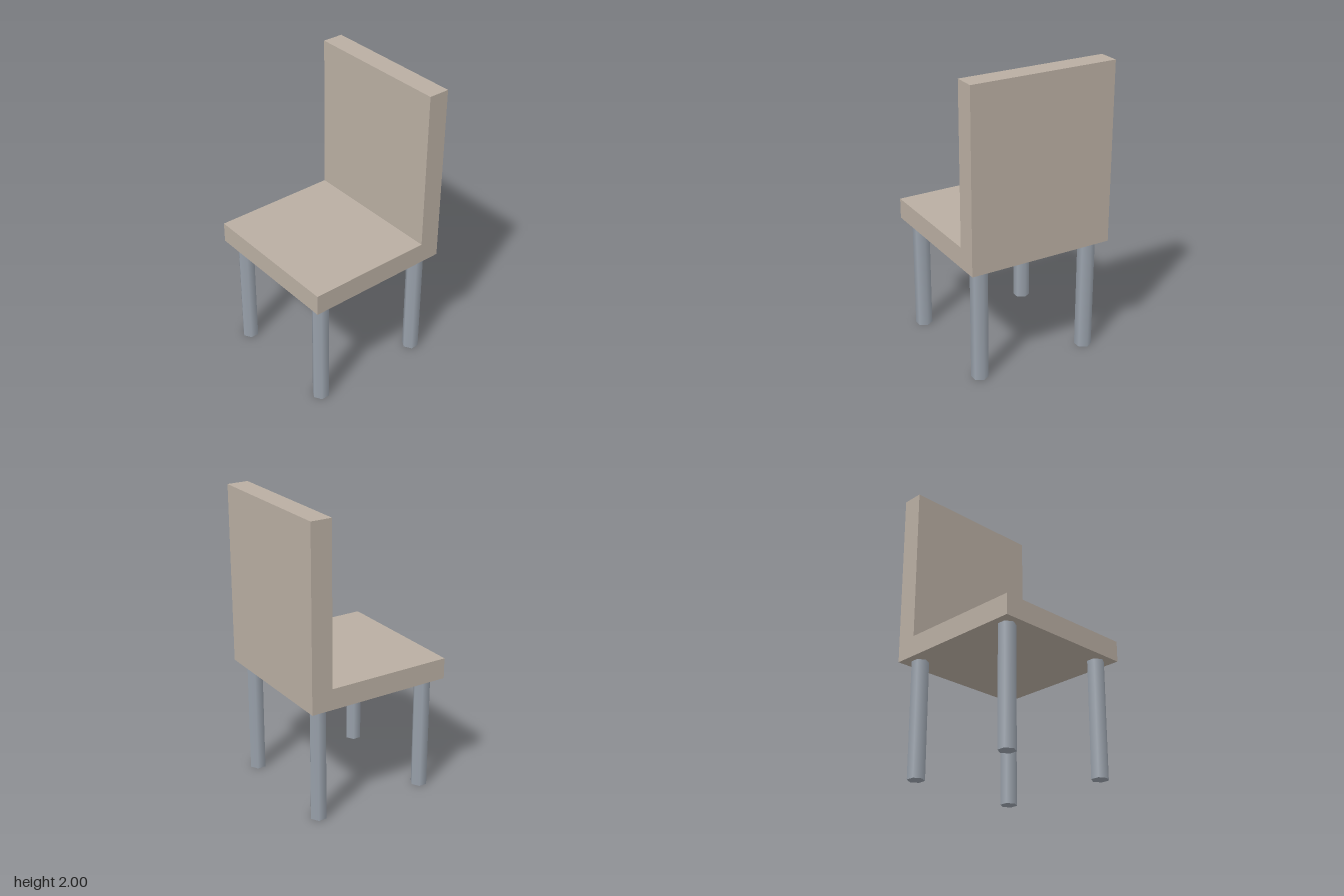
import * as THREE from 'three';

export function createModel() {
  const chair = new THREE.Group();
  chair.name = 'chair';
  const fabric = new THREE.MeshStandardMaterial({ color: 0xb9aea2 });
  const metal = new THREE.MeshStandardMaterial({ color: 0x9aa2ac });

  const width = 1, seatBottom = 0.79, seatTop = 0.93, backFront = -0.357;

  // Seat and backrest: one L-shaped side profile (z, y) extruded across the width
  const profile = new THREE.Shape([
    [-0.5, seatBottom], [0.5, seatBottom], [0.5, seatTop],
    [backFront, seatTop], [backFront, 2], [-0.5, 2],
  ].map(([z, y]) => new THREE.Vector2(z, y)));
  const bodyGeometry = new THREE.ExtrudeGeometry(profile, { depth: width, bevelEnabled: false });
  bodyGeometry.rotateY(-Math.PI / 2).translate(width / 2, 0, 0);
  const body = new THREE.Mesh(bodyGeometry, fabric);
  body.name = 'seatAndBackrest';
  chair.add(body);

  // Four six-sided legs with smooth sides, corners pointing to front and back
  const legGeometry = new THREE.CylinderGeometry(0.057, 0.057, seatBottom, 6);
  for (const [xName, x] of [['Left', 0.4], ['Right', -0.4]]) {
    for (const [zName, z] of [['front', 0.4], ['back', -0.4]]) {
      const leg = new THREE.Mesh(legGeometry, metal);
      leg.name = `${zName}${xName}Leg`;
      leg.position.set(x, seatBottom / 2, z);
      chair.add(leg);
    }
  }
  return chair;
}
